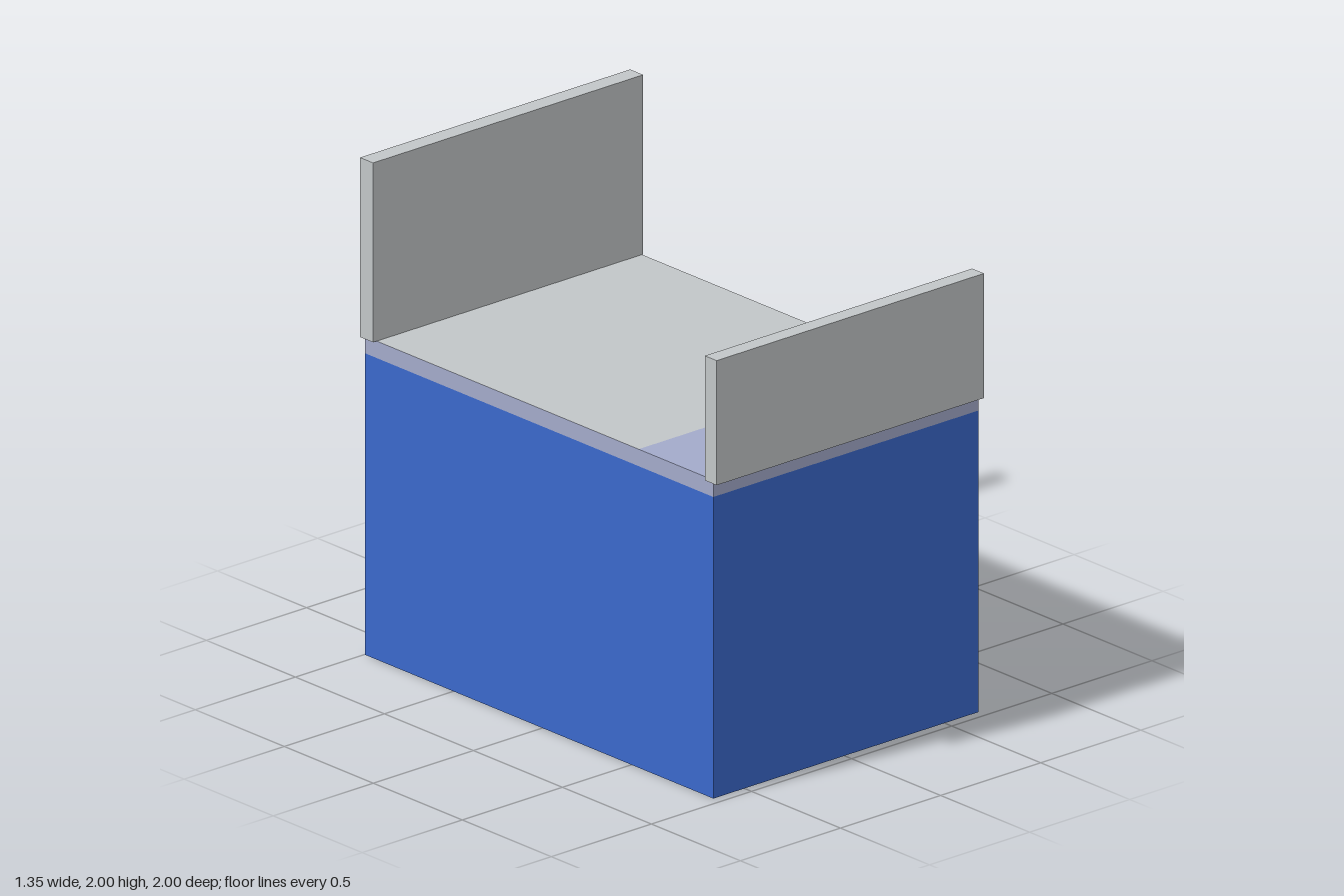
import * as THREE from 'three';

const paint = (name, color) => {
  const m = new THREE.MeshStandardMaterial({ color, side: THREE.DoubleSide });
  m.name = name;
  return m;
};

export function createModel() {
  const group = new THREE.Group();
  const blue = paint('blue', 0x3b68cb);
  const grey = paint('pale grey', 0xc2c6c8);
  const lavender = paint('lavender', 0xa3aaca);

  // bed extents
  const x0 = -0.655, x1 = 0.67, z0 = -0.998, z1 = 0.96;
  const trim = 1.21, top = 1.278, fold = 0.54;
  const cx = (x0 + x1) / 2, cz = (z0 + z1) / 2, w = x1 - x0, d = z1 - z0;

  const add = (name, geometry, material) => {
    const mesh = new THREE.Mesh(geometry, material);
    mesh.name = name;
    group.add(mesh);
  };

  // upright thin panel between two heights, turned about y to face outward
  const wall = (name, material, width, y0, y1, x, z, turn) =>
    add(name, new THREE.PlaneGeometry(width, y1 - y0).rotateY(turn).translate(x, (y0 + y1) / 2, z), material);

  // flat thin panel facing up (or down)
  const sheet = (name, material, y, za, zb, up = true) =>
    add(name, new THREE.PlaneGeometry(w, zb - za).rotateX(up ? -Math.PI / 2 : Math.PI / 2)
      .translate(cx, y, (za + zb) / 2), material);

  // hollow base with a lavender rim; the +x side has an open slot instead of a rim
  const sides = [
    ['front', w, cx, z1, 0], ['back', w, cx, z0, Math.PI],
    ['left', d, x1, cz, Math.PI / 2], ['right', d, x0, cz, -Math.PI / 2],
  ];
  for (const [side, width, x, z, turn] of sides) {
    wall(side + 'Wall', blue, width, 0, trim, x, z, turn);
    if (side !== 'left') wall(side + 'Rim', lavender, width, trim, top, x, z, turn);
  }
  sheet('floor', grey, 0, z0, z1, false);

  // bed top and coloured strip at the foot
  sheet('mattressTop', grey, top, z0, fold);
  sheet('footStrip', lavender, top, fold, z1);

  // end boards
  const board = (name, xa, xb, ya, yb, za, zb) =>
    add(name, new THREE.BoxGeometry(xb - xa, yb - ya, zb - za)
      .translate((xa + xb) / 2, (ya + yb) / 2, (za + zb) / 2), grey);
  board('headboard', -0.677, 0.672, 1.28, 2, -1, -0.927);
  board('footboard', -0.674, 0.661, 1.274, 1.774, 0.934, 1);

  return group;
}
